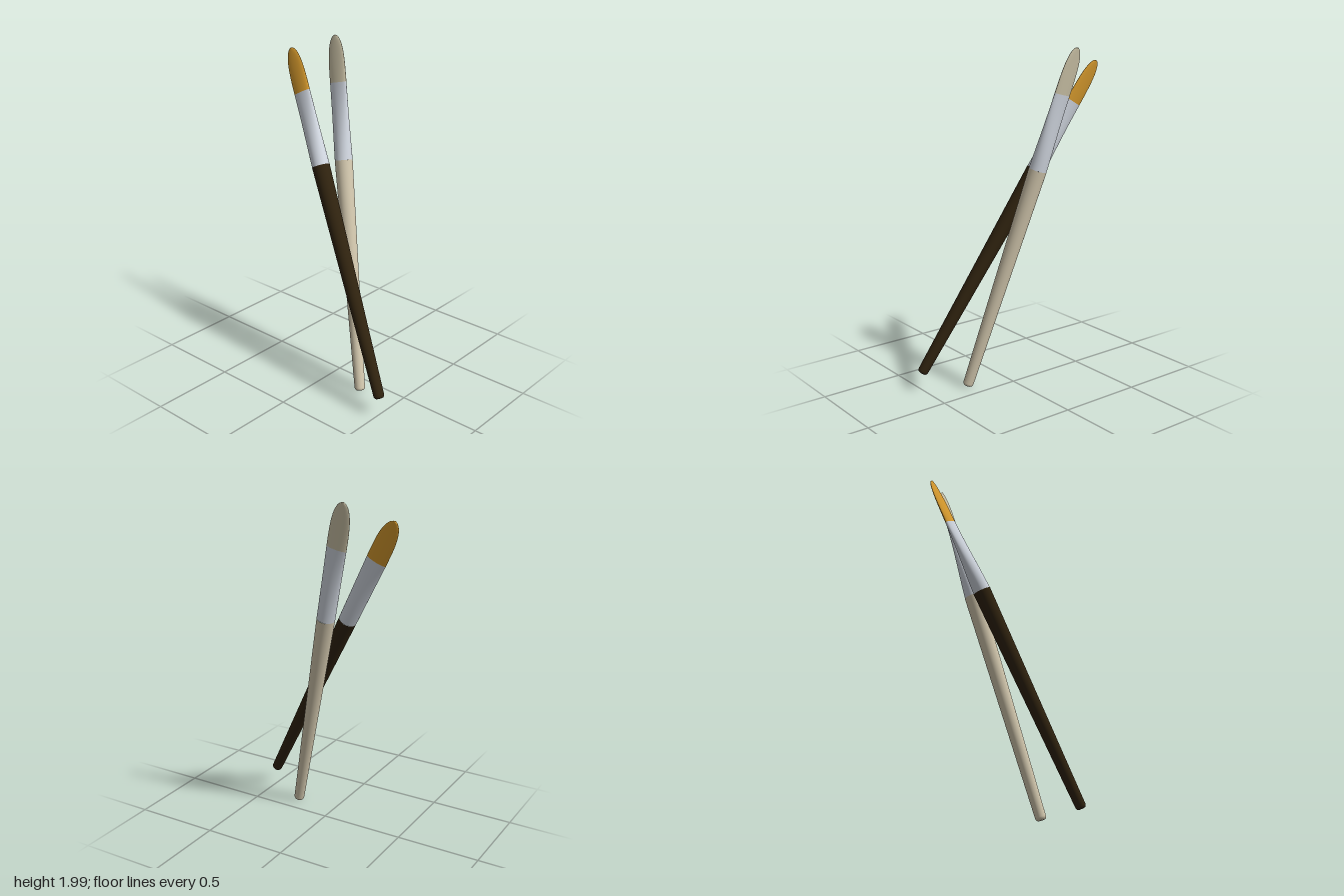
import * as THREE from 'three';

const SEG = 40;

const material = (name, color) => {
  const m = new THREE.MeshStandardMaterial({ color });
  m.name = name;
  return m;
};

// Skin of elliptical rings: each is [height, half width, half thickness]
function loft(name, rings, mat) {
  const pos = [], index = [];
  rings.forEach(([y, w, t], r) => {
    for (let i = 0; i < SEG; i++) {
      const a = (i / SEG) * Math.PI * 2;
      pos.push(w * Math.cos(a), y, t * Math.sin(a));
      if (r === rings.length - 1) continue;
      const p = r * SEG + i, q = r * SEG + ((i + 1) % SEG);
      index.push(p, p + SEG, q, q, p + SEG, q + SEG);
    }
  });
  const g = new THREE.BufferGeometry();
  g.setAttribute('position', new THREE.Float32BufferAttribute(pos, 3));
  g.setIndex(index);
  g.computeVertexNormals();
  const mesh = new THREE.Mesh(g, mat);
  mesh.name = name;
  return mesh;
}

const JOINT = 1.355, NECK = 1.8, TIP = 2.07;

function brush(name, foot, neck, twist, mats) {
  const group = new THREE.Group();
  group.name = name;

  // Tapered round handle with a rounded foot
  const handle = [];
  for (const a of [0.02, 0.25, 0.5, 0.75, 1]) {
    const s = Math.sin((a * Math.PI) / 2), c = Math.cos((a * Math.PI) / 2);
    const r = 0.017 + 0.014 * s;
    handle.push([0.006 - 0.018 * c, r, r]);
  }
  handle.unshift([-0.012, 0.0005, 0.0005]);
  for (let i = 1; i <= 8; i++) {
    const r = 0.031 + (0.021 * i) / 8;
    handle.push([0.006 + ((JOINT - 0.006) * i) / 8, r, r]);
  }
  group.add(loft('handle', handle, mats.handle));

  // Metal ferrule, pressed from round to flat
  const ferrule = [];
  for (let i = 0; i <= 10; i++) {
    const k = i / 10;
    const ease = 0.6 * k + 0.4 * k * k * (3 - 2 * k);
    ferrule.push([JOINT + (NECK - JOINT) * k, 0.052 + 0.007 * k, 0.051 - 0.034 * ease]);
  }
  group.add(loft('ferrule', ferrule, mats.ferrule));

  // Flat bristles with a rounded tip
  const bristles = [];
  for (let i = 0; i <= 18; i++) {
    const k = Math.sin((i / 18) * Math.PI / 2);
    const w = 0.059 * Math.pow(Math.max(0, 1 - Math.pow(k, 3.6)), 0.5);
    const t = Math.min(0.017 - 0.011 * k, w);
    bristles.push([NECK + (TIP - NECK) * k, w, t]);
  }
  group.add(loft('bristles', bristles, mats.bristles));

  // Lean the brush along its axis, flat side to the front
  const origin = new THREE.Vector3(...foot);
  const y = new THREE.Vector3(...neck).sub(origin).normalize();
  const x = new THREE.Vector3(1, -(y.x + twist * y.z) / y.y, twist).normalize();
  const z = new THREE.Vector3().crossVectors(x, y);
  group.quaternion.setFromRotationMatrix(new THREE.Matrix4().makeBasis(x, y, z));
  group.position.copy(origin);
  return group;
}

export function createModel() {
  const metal = material('silver metal', 0xd0d6df);
  const model = new THREE.Group();
  model.name = 'paintbrushes';
  model.add(
    brush('darkBrush', [0.495, 0.12, 0.228], [-0.367, 1.667, -0.088], -0.16, {
      handle: material('dark brown', 0x30230f),
      ferrule: metal,
      bristles: material('golden bristle', 0xd99c2e),
    }),
    brush('paleBrush', [0.254, 0.018, 0.11], [-0.188, 1.737, -0.2], -0.08, {
      handle: material('cream wood', 0xd3c8ae),
      ferrule: metal,
      bristles: material('pale bristle', 0xcdc4a8),
    })
  );
  return model;
}
